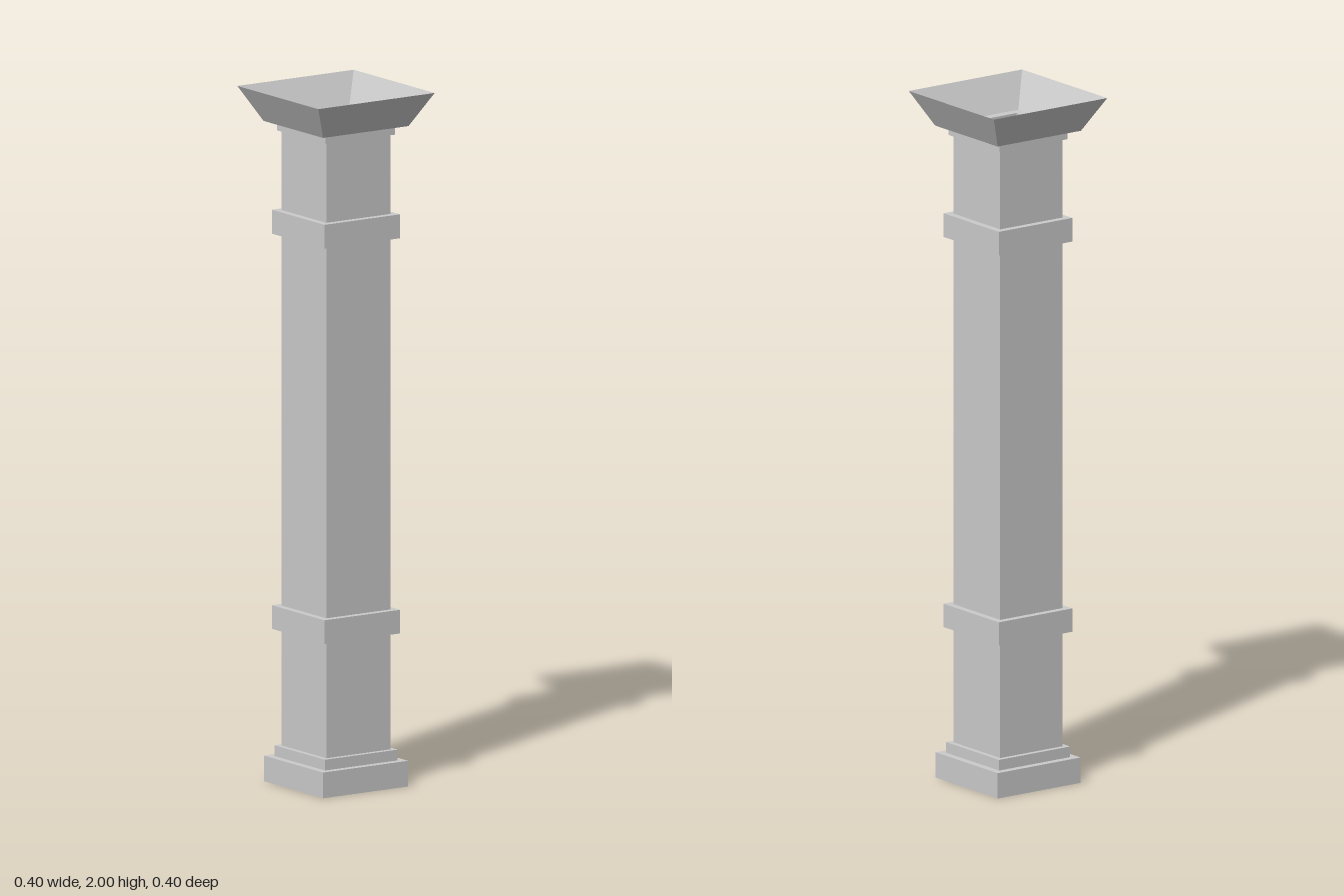
import * as THREE from 'three';

const material = new THREE.MeshStandardMaterial({
  color: 0xcccccc, flatShading: true, side: THREE.DoubleSide,
});

// Hollow square shell swept through [half width, height] pairs, bottom to top
function squareShell(name, profile) {
  const points = profile.map(([half, y]) => new THREE.Vector2(half * Math.SQRT2, y));
  const mesh = new THREE.Mesh(new THREE.LatheGeometry(points, 4, Math.PI / 4), material);
  mesh.name = name;
  return mesh;
}

export function createModel() {
  const column = new THREE.Group();
  column.name = 'column';
  const shaft = 0.11, band = 0.13;

  // Stepped plinth, open underneath
  column.add(squareShell('base', [
    [0.146, 0], [0.146, 0.074], [0.125, 0.074], [0.125, 0.105], [shaft, 0.105],
  ]));

  // Shaft sections between the two bands
  [['lowerShaft', 0.105, 0.44], ['middleShaft', 0.508, 1.578], ['upperShaft', 1.647, 1.876]]
    .forEach(([name, y0, y1]) => column.add(squareShell(name, [[shaft, y0], [shaft, y1]])));

  // Projecting bands
  [['lowerBand', 0.44, 0.508], ['upperBand', 1.578, 1.647]]
    .forEach(([name, y0, y1]) => column.add(squareShell(name, [
      [shaft, y0], [band, y0], [band, y1], [shaft, y1],
    ])));

  // Neck and flared capital, open at the top
  column.add(squareShell('neck', [[shaft, 1.876], [0.12, 1.876], [0.12, 1.902]]));
  column.add(squareShell('capital', [[0.12, 1.902], [0.147, 1.902], [0.2, 2]]));

  return column;
}
